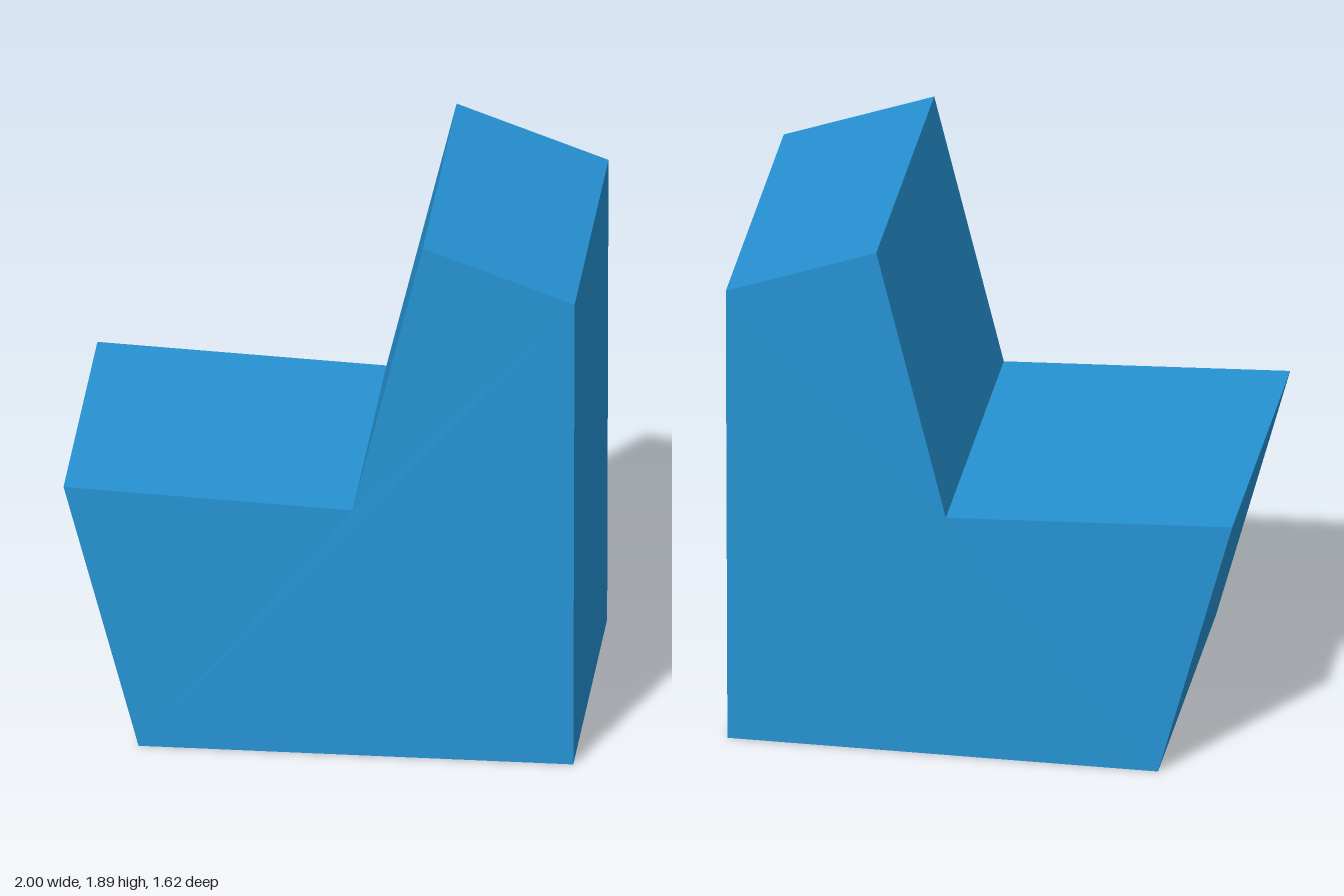
import * as THREE from 'three';

export function createModel() {
  const group = new THREE.Group();
  group.name = 'blockChair';

  const blue = new THREE.MeshStandardMaterial({ color: 0x2592d3 });
  blue.name = 'blue';

  // Side profile: slanted front, seat, leaning backrest, sloped top, upright back
  const profile = [
    [-0.613, 0], [0.868, 0], [0.871, 1.703],
    [0.354, 1.89], [0.115, 0.905], [-0.869, 0.95],
  ];
  const width = 1.195;
  const shape = new THREE.Shape(profile.map(([x, y]) => new THREE.Vector2(x, y)));
  const geometry = new THREE.ExtrudeGeometry(shape, { depth: width, bevelEnabled: false });
  geometry.translate(0, 0, -width / 2);

  // The foot is skewed slightly sideways, most at the back
  const pos = geometry.attributes.position;
  for (let i = 0; i < pos.count; i++) {
    if (pos.getY(i) < 0.01) pos.setZ(i, pos.getZ(i) + (pos.getX(i) > 0 ? 0.016 : 0.005));
  }
  geometry.computeVertexNormals();

  // The whole seat stands turned on its base
  geometry.rotateY(THREE.MathUtils.degToRad(15.5));

  const seat = new THREE.Mesh(geometry, blue);
  seat.name = 'seatAndBackrest';
  group.add(seat);
  return group;
}
